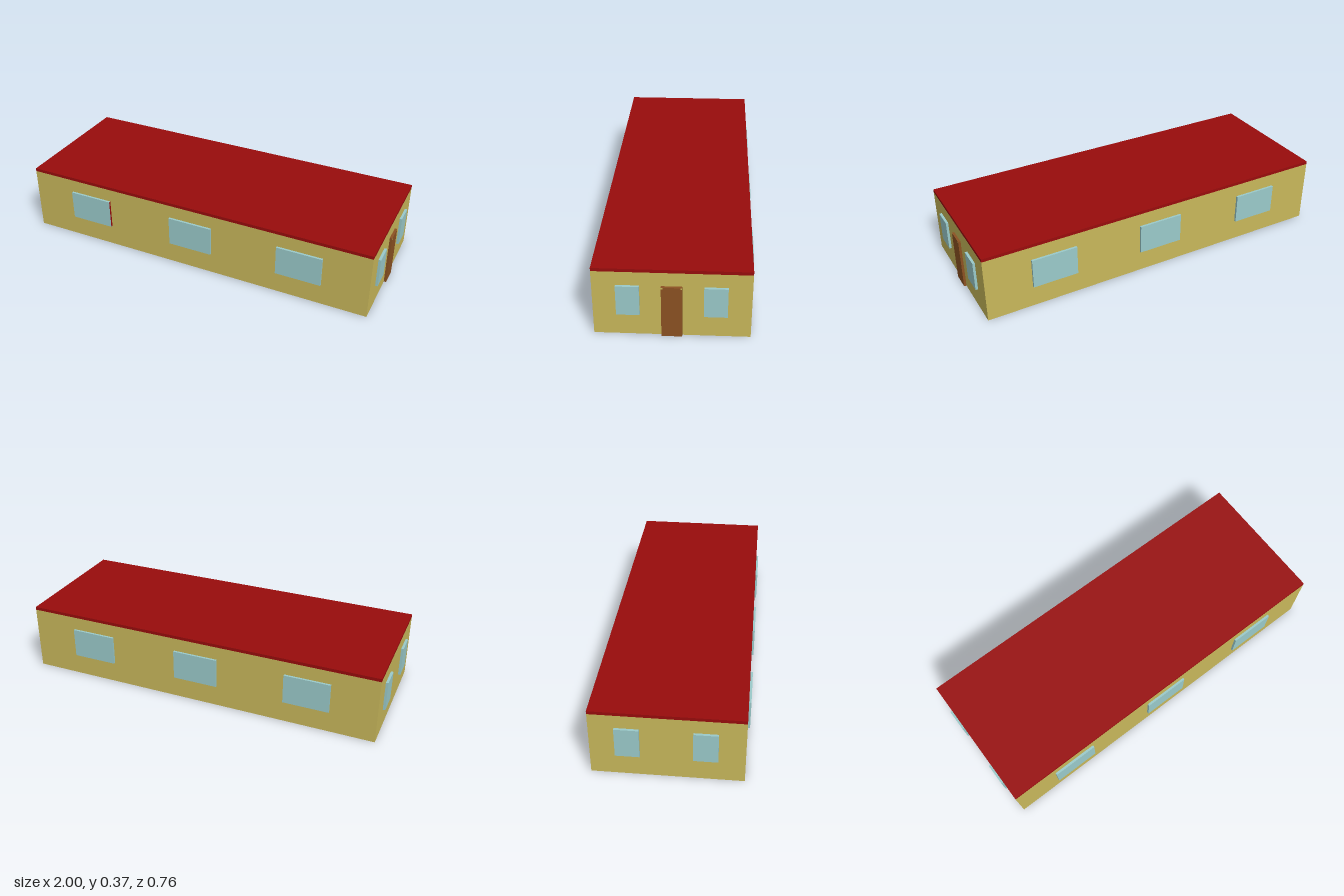
import * as THREE from 'three';

const paint = (name, color) => {
  const m = new THREE.MeshStandardMaterial({ color });
  m.name = name;
  return m;
};

export function createModel() {
  const wall = paint('wall yellow', 0xc9b85b);
  const roofRed = paint('roof red', 0x990c0c);
  const glass = paint('window blue', 0x9bcbcb);
  const wood = paint('door brown', 0x8c5222);

  const house = new THREE.Group();
  house.name = 'house';

  // Box given by its lower and upper limits on each axis
  const block = (name, material, [x0, x1], [y0, y1], [z0, z1]) => {
    const geometry = new THREE.BoxGeometry(x1 - x0, y1 - y0, z1 - z0);
    const mesh = new THREE.Mesh(geometry, material);
    mesh.name = name;
    mesh.position.set((x0 + x1) / 2, (y0 + y1) / 2, (z0 + z1) / 2);
    house.add(mesh);
    return mesh;
  };

  const X = 0.987, Z = 0.37, EAVES = 0.354, TOP = 0.371;
  const sill = [0.12, 0.281];

  // Main volume and flat roof
  block('walls', wall, [-X, X], [0, EAVES], [-Z, Z]);
  block('roof', roofRed, [-X, X], [EAVES, TOP], [-Z, Z]);

  // Three wide windows along each long side
  for (const x of [-0.62, -0.002, 0.615]) {
    const span = [x - 0.123, x + 0.123];
    const front = block('frontWindow', glass, span, sill, [Z, 0.382]);
    block('backWindow', glass, span, sill, [-0.382, -Z]);
    // The first front window has one red reveal
    if (x < -0.5) front.material = [roofRed, glass, glass, glass, glass, glass];
  }

  // Two windows on each end wall
  for (const span of [[0.15, 0.26], [-0.259, -0.148]]) block('leftEndWindow', glass, [X, 1], sill, span);
  for (const span of [[0.124, 0.242], [-0.247, -0.129]]) block('rightEndWindow', glass, [-1, -X], sill, span);

  // Door with small painted corners at its head
  block('door', wood, [X, 1], [0, 0.281], [-0.048, 0.05]);
  for (const span of [[0.042, 0.05], [-0.048, -0.041]]) {
    block('doorCorner', wall, [0.9995, 1.0005], [0.273, 0.281], span);
  }

  return house;
}
